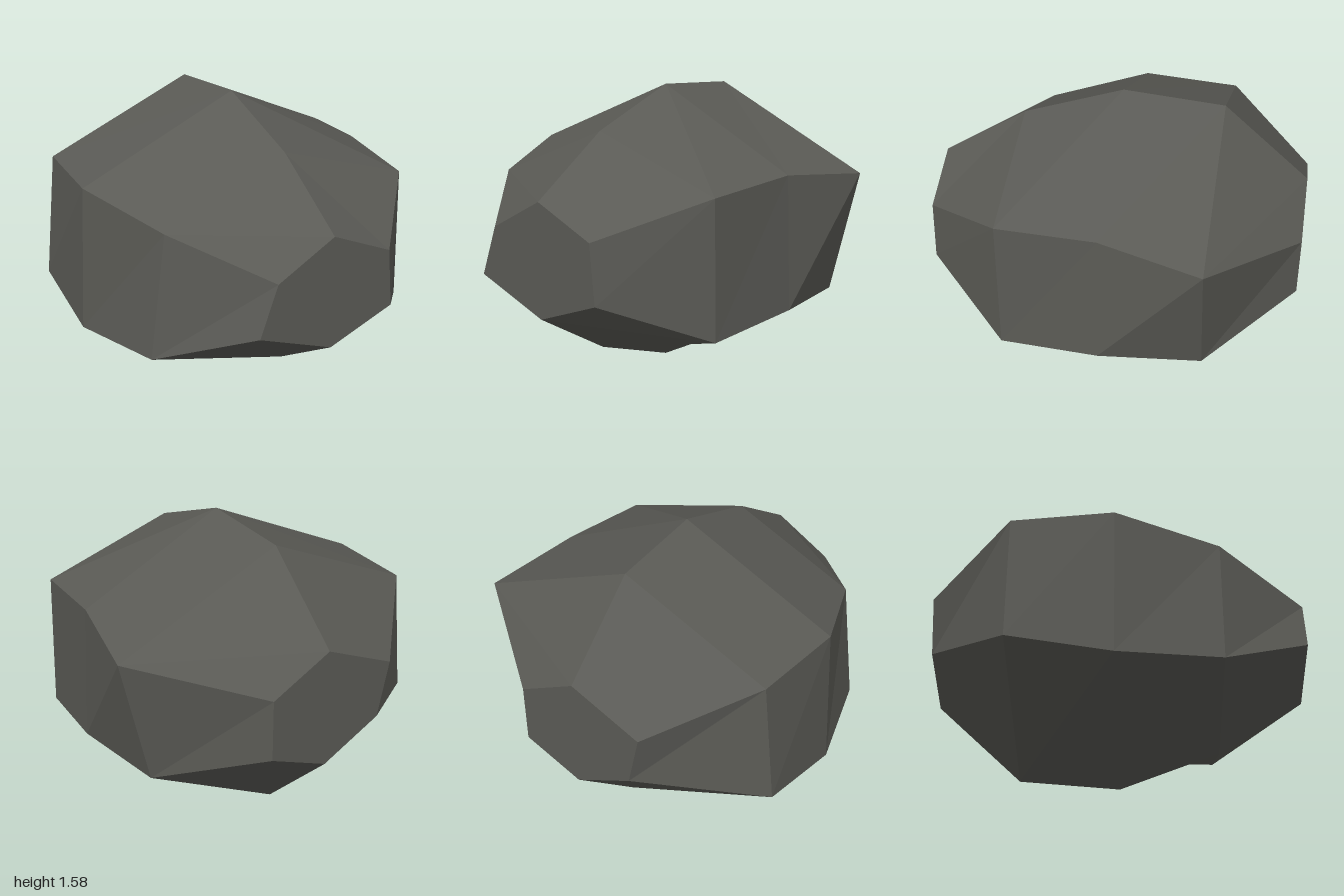
import * as THREE from 'three';

// Cross-sections from front to back; each runs counterclockwise seen from +z:
// top, -x upper, -x lower, bottom, +x lower, +x upper.
const SECTIONS = [
  { z: 1.0, pts: [[0, 1.10], [-0.32, 0.92], [-0.42, 0.645], [0, 0.485], [0.37, 0.632], [0.34, 0.95]] },
  { z: 0.54, pts: [[0, 1.39], [-0.695, 1.09], [-0.785, 0.41], [0, 0.20], [0.76, 0.405], [0.745, 1.145]] },
  { z: 0, pts: [[0, 1.575], [-0.89, 1.185], [-0.93, 0.385], [0, 0], [0.84, 0.45], [0.81, 1.175]] },
  { z: -0.54, pts: [[0, 1.53], [-0.835, 1.18], [-0.905, 0.49], [0, 0.05], [0.76, 0.423], [0.925, 1.11]] },
  { z: -1.0, pts: [[0, 1.122], [-0.40, 0.957], [-0.335, 0.66], [0, 0.483], [0.333, 0.613], [0.333, 0.943]] },
];

// Joins the sections with faceted sides and closes both ends.
function loftSections(sections) {
  const n = sections[0].pts.length;
  const last = sections.length - 1;
  const verts = [];
  const add = (...corners) => {
    for (const [s, i] of corners) {
      const [x, y] = sections[s].pts[i % n];
      verts.push(x, y, sections[s].z);
    }
  };

  for (let s = 0; s < last; s++) {
    for (let i = 0; i < n; i++) {
      add([s, i], [s + 1, i], [s + 1, i + 1]);
      add([s, i], [s + 1, i + 1], [s, i + 1]);
    }
  }
  for (let i = 1; i < n - 1; i++) {
    add([0, 0], [0, i], [0, i + 1]);
    add([last, 0], [last, i + 1], [last, i]);
  }

  const geometry = new THREE.BufferGeometry();
  geometry.setAttribute('position', new THREE.Float32BufferAttribute(verts, 3));
  geometry.computeVertexNormals();
  return geometry;
}

export function createModel() {
  const group = new THREE.Group();
  group.name = 'rock';

  const stone = new THREE.MeshStandardMaterial({ color: 0x5a5a55 });
  stone.name = 'dark grey stone';
  stone.flatShading = true;

  const boulder = new THREE.Mesh(loftSections(SECTIONS), stone);
  boulder.name = 'boulder';
  group.add(boulder);
  return group;
}
